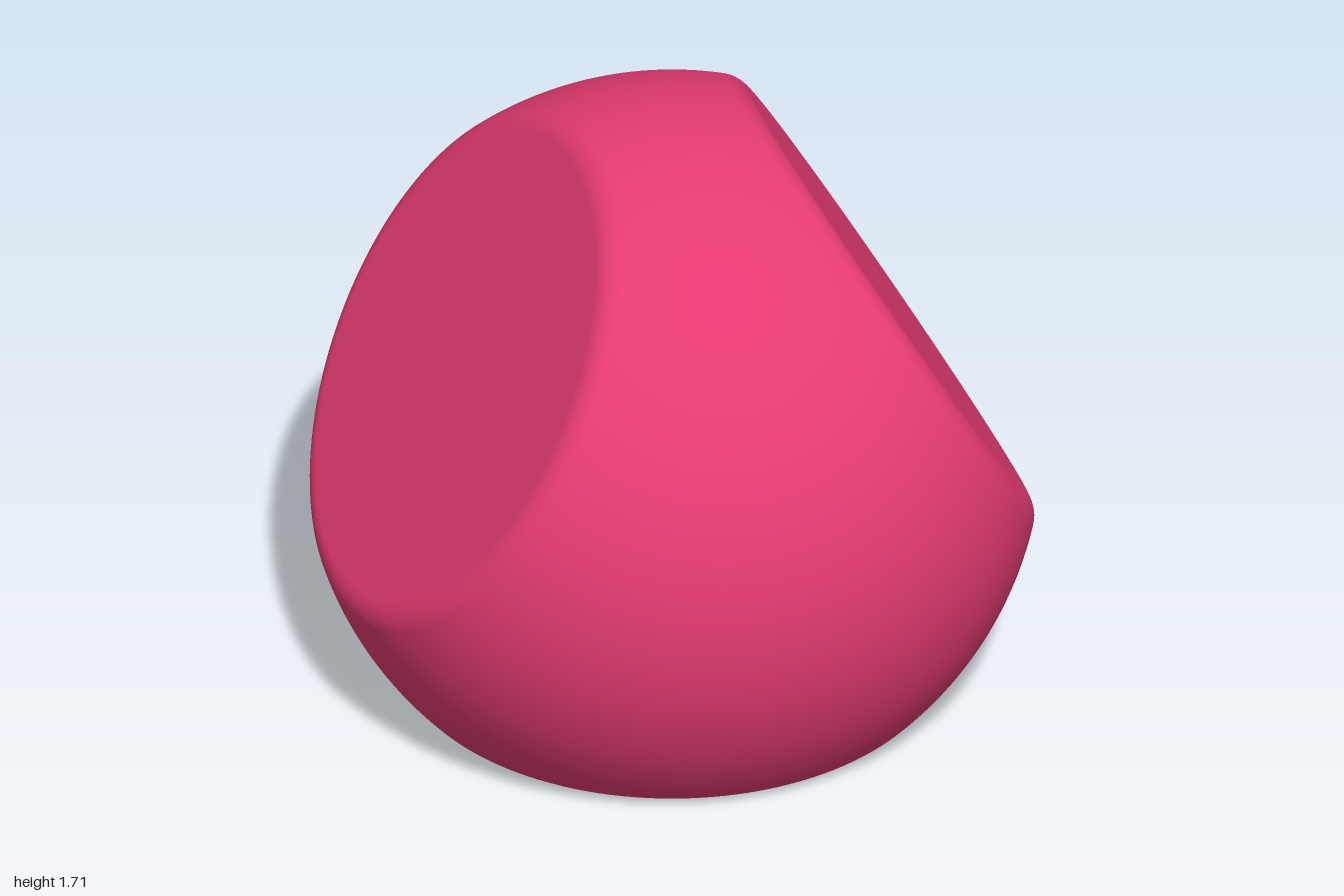
import * as THREE from 'three';

const FLAT = Math.SQRT1_2; // distance of each flat from the centre of the unit sphere
const FILLET = 0.1;        // rounding between flat and sphere
const AROUND = 128, ARC = 10, SPHERE = 28;

// One third of the ball: a flat disc, its rounded rim, and the sphere out to the
// planes it shares with the neighbouring thirds.
function ballThird(axisAngle) {
  const n = new THREE.Vector3(Math.cos(axisAngle), Math.sin(axisAngle), 0);
  const t = new THREE.Vector3(-n.y, n.x, 0);
  const z = new THREE.Vector3(0, 0, 1);
  const h = FLAT - FILLET;
  const rho = Math.sqrt((1 - FILLET) ** 2 - h * h);
  const rimAngle = Math.atan2(rho, h);

  const positions = [], normals = [], index = [];
  const put = (list, phi, along, out) => {
    const v = new THREE.Vector3()
      .addScaledVector(n, along)
      .addScaledVector(t, out * Math.cos(phi))
      .addScaledVector(z, out * Math.sin(phi));
    list.push(v.x, v.y, v.z);
  };

  const rows = 1 + (ARC + 1) + SPHERE;
  for (let j = 0; j <= AROUND; j++) {
    const phi = (j / AROUND) * Math.PI * 2;
    // flat centre
    put(positions, phi, FLAT, 0);
    put(normals, phi, 1, 0);
    // rounded rim
    for (let i = 0; i <= ARC; i++) {
      const a = (rimAngle * i) / ARC;
      put(positions, phi, h + FILLET * Math.cos(a), rho + FILLET * Math.sin(a));
      put(normals, phi, Math.cos(a), Math.sin(a));
    }
    // sphere, ending on the dividing plane 60 degrees from the axis
    const end = Math.atan2(Math.sqrt(3), Math.abs(Math.cos(phi)));
    for (let i = 1; i <= SPHERE; i++) {
      const a = rimAngle + ((end - rimAngle) * i) / SPHERE;
      put(positions, phi, Math.cos(a), Math.sin(a));
      put(normals, phi, Math.cos(a), Math.sin(a));
    }
  }
  for (let j = 0; j < AROUND; j++) {
    for (let i = 0; i < rows - 1; i++) {
      const a = j * rows + i, b = a + rows;
      index.push(a, a + 1, b + 1);
      if (i > 0) index.push(a, b + 1, b);
    }
  }

  const geometry = new THREE.BufferGeometry();
  geometry.setAttribute('position', new THREE.Float32BufferAttribute(positions, 3));
  geometry.setAttribute('normal', new THREE.Float32BufferAttribute(normals, 3));
  geometry.setIndex(index);
  return geometry;
}

export function createModel() {
  const model = new THREE.Group();
  model.name = 'threeSidedDie';
  const pink = new THREE.MeshStandardMaterial({ color: 0xe63c72 });

  // base flat, right and left slanted flats, 120 degrees apart
  const flats = { baseSide: -90, leftSide: 30, rightSide: 150 };
  for (const [name, degrees] of Object.entries(flats)) {
    const mesh = new THREE.Mesh(ballThird(THREE.MathUtils.degToRad(degrees)), pink);
    mesh.name = name;
    mesh.position.y = FLAT; // rests on the base flat
    model.add(mesh);
  }
  return model;
}
